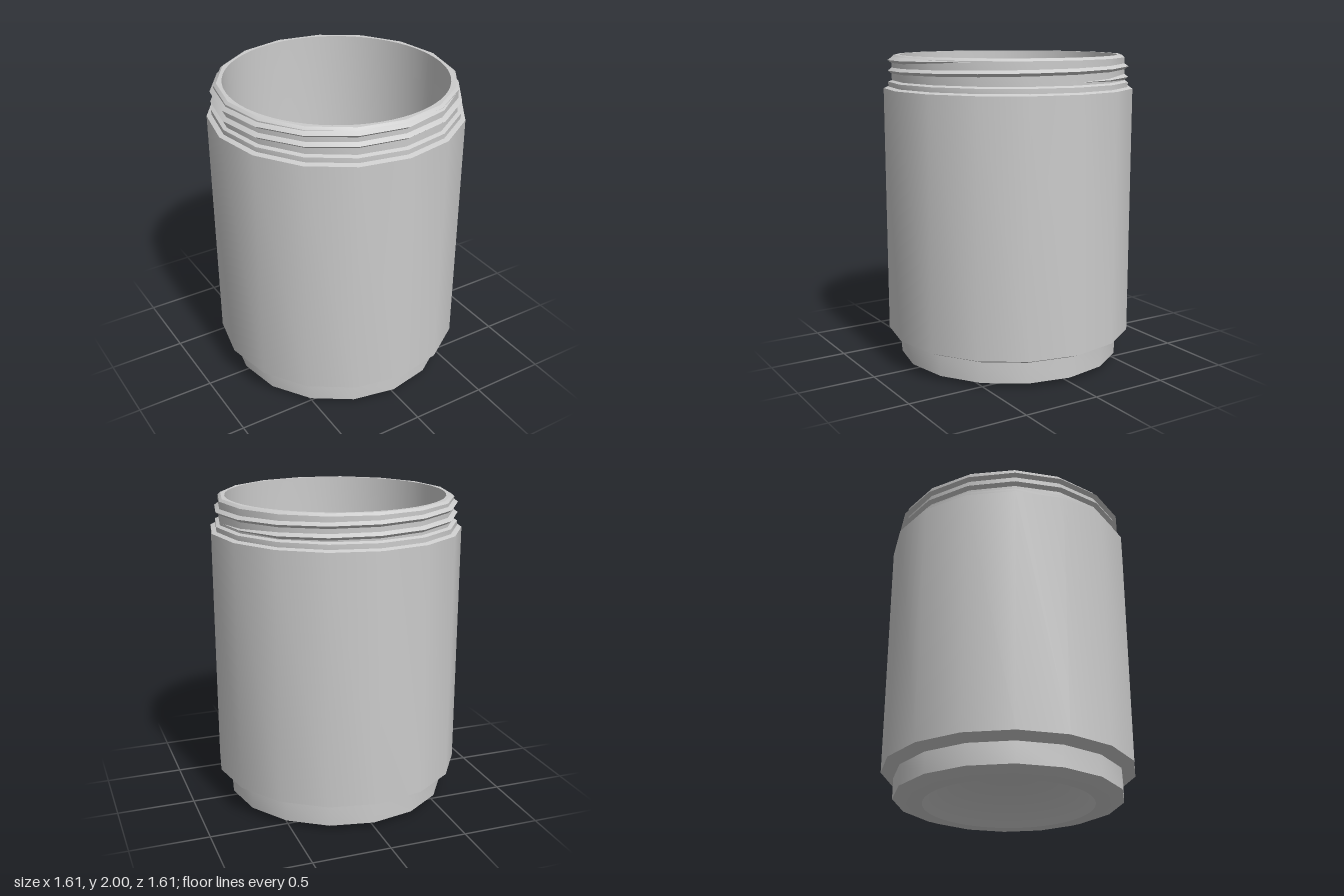
import * as THREE from 'three';
import { toCreasedNormals } from 'three/addons/utils/BufferGeometryUtils.js';

const SIDES = 16;
const material = new THREE.MeshStandardMaterial({ color: 0xcccccc });
const threadMaterial = new THREE.MeshStandardMaterial({ color: 0xcccccc, side: THREE.DoubleSide });

function addMesh(group, name, geometry, mat = material) {
  const mesh = new THREE.Mesh(geometry, mat);
  mesh.name = name;
  group.add(mesh);
  return mesh;
}

function lathe(profile, segments) {
  const points = profile.map(([r, y]) => new THREE.Vector2(r, y));
  return toCreasedNormals(new THREE.LatheGeometry(points, segments), 0.6);
}

// Flat face between a faceted outer edge and a round hole
function ring(outer, inner, y, facing) {
  const loop = (r, n) => Array.from({ length: n }, (_, i) => {
    const a = (i / n) * Math.PI * 2;
    return new THREE.Vector2(r * Math.cos(a), r * Math.sin(a));
  });
  const shape = new THREE.Shape(loop(outer, SIDES));
  shape.holes.push(new THREE.Path(loop(inner, 64)));
  const geometry = new THREE.ShapeGeometry(shape);
  geometry.rotateX(-facing * Math.PI / 2);
  geometry.translate(0, y, 0);
  return geometry;
}

// Triangular ridge winding up the neck, fading out at both ends
function helix(root, crest, y0, pitch, turns) {
  const positions = [], index = [];
  const count = Math.round(turns * SIDES);
  for (let i = 0; i <= count; i++) {
    const a = -(i / SIDES) * Math.PI * 2;
    const y = y0 + (i / SIDES) * pitch;
    const fade = Math.min(1, i / 2, (count - i) / 2);
    const section = [[root, -0.02], [root + (crest - root) * fade, 0], [root, 0.02]];
    for (const [r, dy] of section) positions.push(r * Math.cos(a), y + dy * fade, r * Math.sin(a));
    if (i === count) continue;
    for (let k = 0; k < 2; k++) {
      const p = i * 3 + k;
      index.push(p, p + 3, p + 1, p + 1, p + 3, p + 4);
    }
  }
  const geometry = new THREE.BufferGeometry();
  geometry.setAttribute('position', new THREE.Float32BufferAttribute(positions, 3));
  geometry.setIndex(index);
  return toCreasedNormals(geometry, 0.6);
}

export function createModel() {
  const jar = new THREE.Group();
  jar.name = 'jar';

  // Faceted outside: stepped foot, body, shoulder and threaded neck
  addMesh(jar, 'outerBody', lathe([
    [0.64, 0], [0.725, 0.03], [0.725, 0.165], [0.805, 0.2],
    [0.805, 1.79], [0.775, 1.8], [0.775, 1.83], [0.752, 1.84],
    [0.752, 1.985], [0.735, 2],
  ], SIDES));
  addMesh(jar, 'neckThread', helix(0.75, 0.777, 1.855, 0.066, 1.9), threadMaterial);

  // Round inside wall with a small fillet down to the floor
  const floor = 0.28, bore = 0.7, fillet = 0.04;
  const inside = [[bore, 2]];
  for (let i = 0; i <= 6; i++) {
    const a = (i / 6) * Math.PI / 2;
    inside.push([bore - fillet + fillet * Math.cos(a), floor + fillet - fillet * Math.sin(a)]);
  }
  inside.push([0, floor]);
  addMesh(jar, 'insideWall', lathe(inside, 64));
  addMesh(jar, 'rim', ring(0.735, bore, 2, 1));

  // Domed hollow under the foot
  const hollow = 0.54, depth = 0.22;
  const radius = (hollow * hollow + depth * depth) / (2 * depth);
  const sweep = Math.asin(hollow / radius);
  const dome = [];
  for (let i = 0; i <= 12; i++) {
    const a = (i / 12) * sweep;
    dome.push([radius * Math.sin(a), depth - radius + radius * Math.cos(a)]);
  }
  addMesh(jar, 'baseHollow', lathe(dome, 64));
  addMesh(jar, 'baseRing', ring(0.64, hollow, 0, -1));

  return jar;
}
